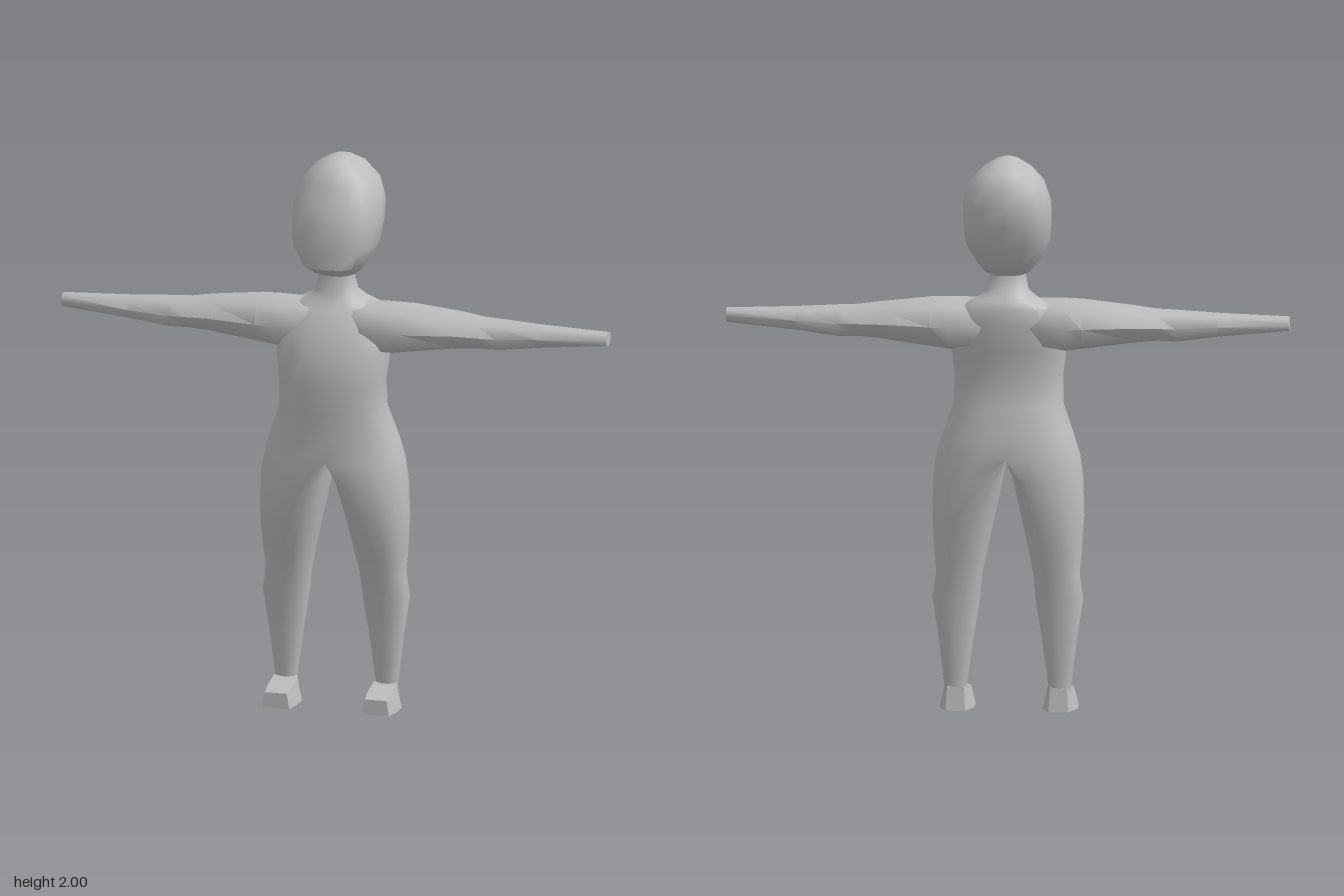
import * as THREE from 'three';
import { mergeGeometries, toCreasedNormals } from 'three/addons/utils/BufferGeometryUtils.js';

// Skin a list of rings (arrays of [x, y, z], clockwise about the loft direction)
function loft(rings, capStart, capEnd) {
  const n = rings[0].length, pos = rings.flat(2), idx = [];
  for (let i = 0; i < rings.length - 1; i++) {
    for (let j = 0; j < n; j++) {
      const a = i * n + j, b = i * n + (j + 1) % n, c = a + n, d = b + n;
      idx.push(a, c, b, b, c, d);
    }
  }
  const cap = (r, flip) => {
    const centre = pos.length / 3;
    for (let k = 0; k < 3; k++) pos.push(rings[r].reduce((s, p) => s + p[k], 0) / n);
    for (let j = 0; j < n; j++) {
      const a = r * n + j, b = r * n + (j + 1) % n;
      idx.push(centre, flip ? b : a, flip ? a : b);
    }
  };
  if (capStart) cap(0, false);
  if (capEnd) cap(rings.length - 1, true);
  const g = new THREE.BufferGeometry();
  g.setAttribute('position', new THREE.Float32BufferAttribute(pos, 3));
  g.setIndex(idx);
  return g;
}

// Rounded-square outline, as pairs of values in -1..1
function outline(segments, power) {
  const f = v => Math.sign(v) * Math.pow(Math.abs(v), 2 / power);
  return Array.from({ length: segments }, (_, i) => {
    const t = i / segments * Math.PI * 2;
    return [f(Math.cos(t)), f(Math.sin(t))];
  });
}

// Horizontal ring whose deepest point lies at x = mid
const levelRing = (o, y, inner, mid, outer, front, back) => o.map(([c, s]) => [
  mid + c * (c > 0 ? outer - mid : mid - inner), y, (front + back) / 2 + s * (front - back) / 2]);

// Mirror in x for the right side, keeping faces outward
const sided = (rings, side) => side > 0 ? rings
  : rings.map(r => r.map(([x, y, z]) => [-x, y, z]).reverse());

export function createModel() {
  const model = new THREE.Group();
  model.name = 'figure';
  const grey = new THREE.MeshStandardMaterial({ color: 0xbcbcbc });
  grey.name = 'plain grey';
  const add = (name, geometry, crease) => {
    const mesh = new THREE.Mesh(toCreasedNormals(geometry, crease), grey);
    mesh.name = name;
    model.add(mesh);
  };
  const bodyOutline = outline(20, 2.3);

  // Torso and neck: y, half width, front z, back z
  const torso = loft([
    [0.92, 0.255, 0.18, -0.11],
    [1.0, 0.23, 0.18, -0.105],
    [1.1, 0.195, 0.183, -0.08],
    [1.2, 0.193, 0.19, -0.065],
    [1.3, 0.205, 0.18, -0.085],
    [1.4, 0.205, 0.14, -0.1],
    [1.46, 0.18, 0.1, -0.1],
    [1.487, 0.11, 0.08, -0.09],
    [1.515, 0.075, 0.07, -0.065],
    [1.57, 0.065, 0.055, -0.04],
    [1.62, 0.065, 0.05, -0.04],
  ].map(([y, w, f, b]) => levelRing(bodyOutline, y, -w, 0, w, f, b)), false, true);

  // Legs: y, inner x, middle x, outer x, front z, back z
  const legRings = [
    [0.07, 0.147, 0.185, 0.223, 0.035, -0.025],
    [0.25, 0.122, 0.185, 0.245, 0.05, -0.035],
    [0.4, 0.098, 0.182, 0.268, 0.068, -0.045],
    [0.49, 0.09, 0.172, 0.255, 0.085, -0.055],
    [0.58, 0.071, 0.165, 0.263, 0.115, -0.07],
    [0.7, 0.046, 0.135, 0.27, 0.15, -0.09],
    [0.84, 0.016, 0.075, 0.266, 0.178, -0.105],
    [0.92, 0, 0, 0.255, 0.18, -0.11],
  ].map(r => levelRing(bodyOutline, ...r));
  const legs = [1, -1].map(side => loft(sided(legRings, side), true, false));
  add('body', mergeGeometries([torso, ...legs]), 0.9);

  // Head: y, half width, front z, back z
  add('head', loft([
    [1.57, 0.05, 0.05, -0.035],
    [1.585, 0.082, 0.085, -0.07],
    [1.622, 0.112, 0.157, -0.11],
    [1.69, 0.15, 0.16, -0.15],
    [1.77, 0.158, 0.16, -0.188],
    [1.84, 0.157, 0.135, -0.192],
    [1.91, 0.135, 0.105, -0.187],
    [1.96, 0.09, 0.08, -0.155],
    [1.987, 0.045, 0.05, -0.11],
    [2.0, 0.012, 0, -0.05],
  ].map(([y, w, f, b]) => levelRing(outline(16, 2.6), y, -w, 0, w, f, b)), true, true), 0.8);

  // Arms: x, bottom y, top y, back z, front z
  const armRings = [
    [0.08, 1.3, 1.485, -0.09, 0.125],
    [0.2, 1.295, 1.487, -0.105, 0.135],
    [0.27, 1.305, 1.485, -0.105, 0.13],
    [0.45, 1.33, 1.465, -0.083, 0.105],
    [0.53, 1.337, 1.453, -0.066, 0.097],
    [0.6, 1.335, 1.45, -0.06, 0.09],
    [0.75, 1.355, 1.441, -0.04, 0.073],
    [1, 1.38, 1.432, -0.015, 0.05],
  ].map(([x, y0, y1, z0, z1]) => outline(8, 2.2).map(([c, s]) => [
    x, (y0 + y1) / 2 + c * (y1 - y0) / 2, (z0 + z1) / 2 - s * (z1 - z0) / 2]));

  // Feet: bottom z, top z, half width of sole, half width of top, height
  const footRings = [
    [-0.04, -0.025, 0.035, 0.03, 0.085],
    [0.03, 0.03, 0.062, 0.042, 0.085],
    [0.1, 0.1, 0.062, 0.045, 0.068],
    [0.16, 0.157, 0.05, 0.04, 0.055],
  ].map(([zb, zt, wb, wt, h]) => [
    [0.183 - wb, 0, zb], [0.183 - wt, h, zt], [0.183 + wt, h, zt], [0.183 + wb, 0, zb]]);

  for (const [side, label] of [[1, 'left'], [-1, 'right']]) {
    add(label + 'Arm', loft(sided(armRings, side), true, true), 0.9);
    add(label + 'Foot', loft(sided(footRings, side), true, true), 0.2);
  }
  return model;
}
